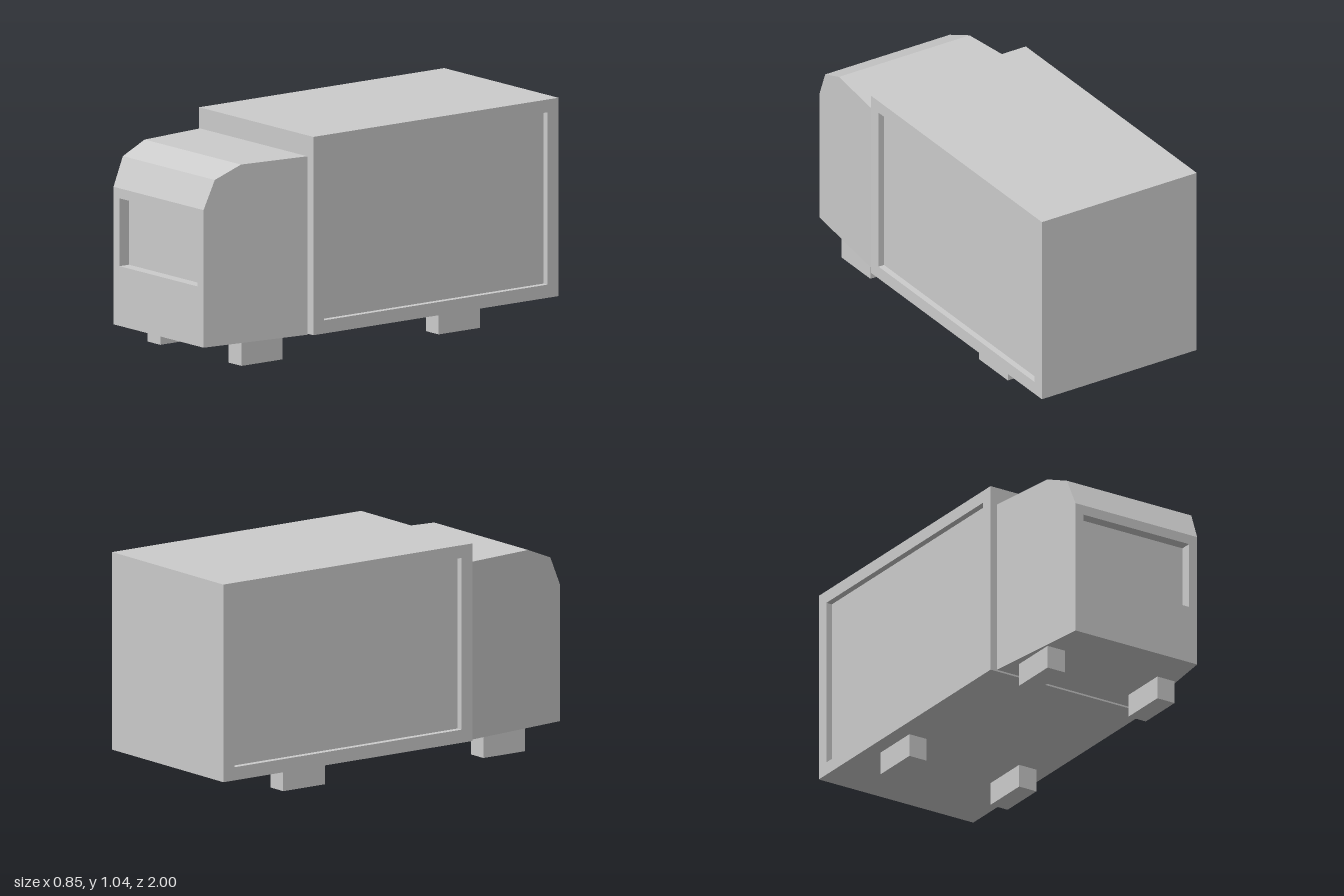
import * as THREE from 'three';
import { mergeGeometries } from 'three/addons/utils/BufferGeometryUtils.js';

const material = new THREE.MeshStandardMaterial({ color: 0xcccccc, flatShading: true });

// Flat convex polygon, corners counter-clockwise seen from its front
function polygon(corners) {
  const positions = [];
  for (let i = 1; i < corners.length - 1; i++) {
    positions.push(...corners[0], ...corners[i], ...corners[i + 1]);
  }
  const geometry = new THREE.BufferGeometry();
  geometry.setAttribute('position', new THREE.Float32BufferAttribute(positions, 3));
  geometry.computeVertexNormals();
  return geometry;
}

const rectangle = (halfWidth, y0, y1) =>
  [[-halfWidth, y0], [halfWidth, y0], [halfWidth, y1], [-halfWidth, y1]];

// Panel facing +z with a rectangular recess sunk into it
function recessedPanel(outer, inner, depth) {
  const toPoints = (list) => list.map(([x, y]) => new THREE.Vector2(x, y));
  const shape = new THREE.Shape(toPoints(outer));
  shape.holes.push(new THREE.Path(toPoints(inner)));
  const frame = new THREE.ShapeGeometry(shape).toNonIndexed();
  frame.deleteAttribute('uv');
  const parts = [frame, polygon(inner.map(([x, y]) => [x, y, -depth]))];
  inner.forEach((a, i) => {
    const b = inner[(i + 1) % 4];
    parts.push(polygon([[...a, 0], [...b, 0], [...b, -depth], [...a, -depth]]));
  });
  return mergeGeometries(parts);
}

// Cargo box: plain ends, roof and floor, a recessed panel on each side
function cargoGeometry() {
  const x = 0.425, y0 = 0.11, y1 = 1.04, back = -1, front = 0.43;
  const half = (front - back) / 2, middle = (front + back) / 2;
  const ring = [[front, y0], [front, y1], [back, y1], [back, y0]];
  const parts = ring.map(([z, y], i) => {
    const [zn, yn] = ring[(i + 1) % 4];
    return polygon([[-x, y, z], [x, y, z], [x, yn, zn], [-x, yn, zn]]);
  });
  for (const side of [-1, 1]) {
    const panel = recessedPanel(rectangle(half, y0, y1), rectangle(0.652, 0.172, 0.98), 0.03);
    parts.push(panel.rotateY(side * Math.PI / 2).translate(side * x, 0, middle));
  }
  return mergeGeometries(parts);
}

// Cab: side profile swept across a width that narrows towards the front
function cabGeometry() {
  const halfWidth = (z) => THREE.MathUtils.mapLinear(z, 0.445, 1, 0.4, 0.335);
  const profile = [[1, 0.11], [1, 0.755], [0.94, 0.89], [0.8, 0.947], [0.445, 0.947], [0.445, 0.11]];
  const at = (side, [z, y]) => [side * halfWidth(z), y, z];
  const parts = [
    polygon(profile.map((p) => at(-1, p))),
    polygon(profile.map((p) => at(1, p)).reverse()),
    // front face with the sunken windscreen
    recessedPanel(rectangle(0.335, 0.11, 0.755), rectangle(0.29, 0.39, 0.708), 0.055).translate(0, 0, 1),
  ];
  for (let i = 1; i < profile.length; i++) {
    const p = profile[i], q = profile[(i + 1) % profile.length];
    parts.push(polygon([at(-1, p), at(1, p), at(1, q), at(-1, q)]));
  }
  return mergeGeometries(parts);
}

export function createModel() {
  const model = new THREE.Group();
  model.name = 'truck';
  const add = (name, geometry) => {
    const mesh = new THREE.Mesh(geometry, material);
    mesh.name = name;
    model.add(mesh);
    return mesh;
  };

  add('cargoBox', cargoGeometry());
  add('cab', cabGeometry());

  // Block wheels
  for (const [axle, z] of [['front', 0.67], ['rear', -0.48]]) {
    for (const [side, x] of [['Left', 0.302], ['Right', -0.302]]) {
      add(`${axle}${side}Wheel`, new THREE.BoxGeometry(0.095, 0.11, 0.24)).position.set(x, 0.055, z);
    }
  }
  return model;
}
